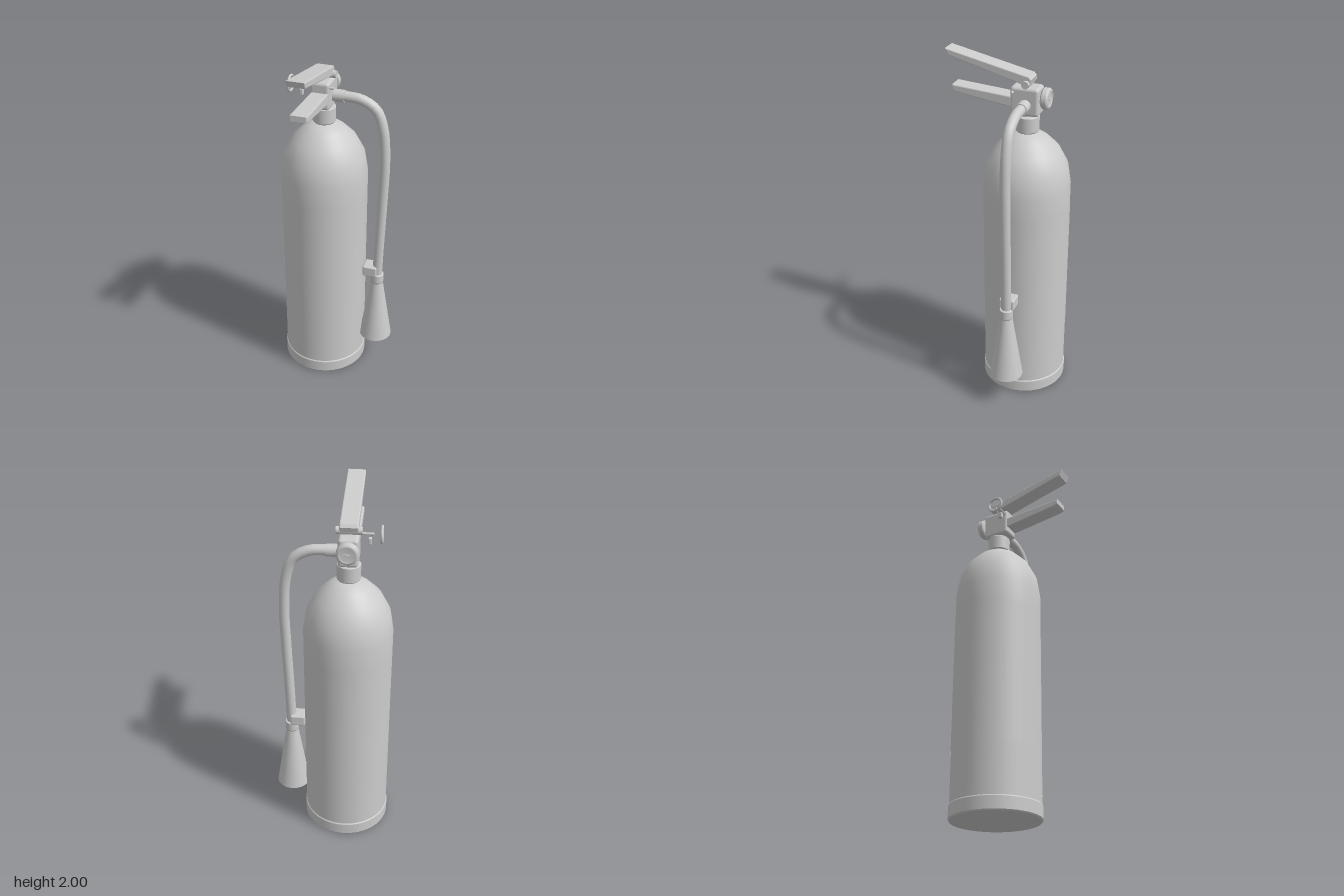
import * as THREE from 'three';
import { RoundedBoxGeometry } from 'three/addons/geometries/RoundedBoxGeometry.js';

const CX = -0.085, CZ = -0.1; // axis of the tank
const HX = 0.234;             // axis of the discharge horn

export function createModel() {
  const model = new THREE.Group();
  model.name = 'fireExtinguisher';
  const grey = new THREE.MeshStandardMaterial({ color: 0xcccccc });
  grey.name = 'plain grey';
  const greyOpen = grey; // one colour for every part
  greyOpen.side = THREE.DoubleSide;

  const add = (name, geometry, x = 0, y = 0, z = 0) => {
    const mesh = new THREE.Mesh(geometry, grey);
    mesh.name = name;
    mesh.position.set(x, y, z);
    model.add(mesh);
    return mesh;
  };
  const lathe = (pts, seg = 48) =>
    new THREE.LatheGeometry(pts.map(([r, y]) => new THREE.Vector2(r, y)), seg);
  const rod = (r, length, seg = 20) =>
    new THREE.CylinderGeometry(r, r, length, seg).rotateZ(Math.PI / 2);
  const box = (w, h, d, r) => new RoundedBoxGeometry(w, h, d, 2, r);

  // Side profile given as [z, y], extruded across x with a small bevel
  const lever = (pts, width) => {
    const b = 0.006;
    const shape = new THREE.Shape(pts.map(([z, y]) => new THREE.Vector2(z, y)));
    const g = new THREE.ExtrudeGeometry(shape, {
      depth: width - 2 * b, bevelEnabled: true, bevelSize: b, bevelThickness: b,
      bevelOffset: -b, bevelSegments: 2,
    });
    return g.translate(0, 0, -width / 2 + b).rotateY(-Math.PI / 2);
  };

  // Tank with domed shoulder
  add('tank', lathe([
    [0.24, 0.07], [0.24, 0.36], [0.24, 1.16], [0.24, 1.29], [0.222, 1.4],
    [0.175, 1.49], [0.115, 1.55], [0.06, 1.585], [0, 1.587],
  ]), CX, 0, CZ);
  add('footRing', lathe([
    [0, 0], [0.235, 0], [0.24, 0.001], [0.245, 0.008], [0.245, 0.008],
    [0.245, 0.074], [0.245, 0.074], [0.243, 0.08], [0.238, 0.081],
  ]), CX, 0, CZ);

  // Label wrapped round the back of the tank
  add('label', new THREE.CylinderGeometry(0.2415, 0.2415, 0.8, 32, 1, true,
    Math.PI - 1.22, 2.44), CX, 0.76, CZ);

  // Neck and valve
  add('neckCollar', lathe([
    [0, 0], [0.058, 0], [0.063, 0.006], [0.063, 0.006], [0.063, 0.086],
    [0.063, 0.086], [0.058, 0.092], [0, 0.092],
  ], 32), CX, 1.588, CZ);
  add('neckStem', new THREE.CylinderGeometry(0.045, 0.045, 0.05, 24), CX, 1.68, CZ);
  add('valveBody', box(0.105, 0.155, 0.157, 0.018), CX, 1.762, -0.095);

  // Pressure gauge on the back of the valve
  const gauge = lathe([
    [0, 0], [0.05, 0], [0.057, 0.008], [0.057, 0.008], [0.057, 0.032],
    [0.057, 0.032], [0.05, 0.041], [0.042, 0.041], [0.042, 0.041], [0.04, 0.036], [0, 0.036],
  ], 32).rotateX(-Math.PI / 2);
  add('gauge', gauge, CX, 1.78, -0.18);
  add('gaugeNeedle', new THREE.BoxGeometry(0.035, 0.007, 0.006), CX, 1.78, -0.219);

  // Squeeze levers and their pivot
  add('upperLever', lever([[0.345, 2.0], [-0.12, 1.9], [-0.131, 1.885],
    [-0.12, 1.845], [0.33, 1.963]], 0.096), CX);
  add('lowerLever', lever([[0.312, 1.806], [-0.03, 1.782],
    [-0.03, 1.722], [0.29, 1.766], [0.312, 1.775]], 0.092), CX);
  add('pivotPin', rod(0.02, 0.134), CX, 1.86, -0.104);

  // Safety pin with pull ring and tag
  add('safetyPin', rod(0.007, 0.195, 12), -0.108, 1.812, -0.033);
  add('pullRing', new THREE.TorusGeometry(0.041, 0.007, 10, 32).rotateY(Math.PI / 2),
    -0.246, 1.812, -0.033);
  add('pinTag', box(0.018, 0.036, 0.025, 0.004), -0.186, 1.773, -0.033);

  // Hose from valve to horn
  add('hoseFitting', rod(0.033, 0.07, 24), -0.005, 1.745, CZ);
  const path = new THREE.CatmullRomCurve3([
    [0.0, 1.745], [0.05, 1.745], [0.12, 1.738], [0.2, 1.69], [0.24, 1.585],
    [0.256, 1.405], [0.251, 1.155], [0.241, 0.865], [HX, 0.62],
  ].map(([x, y]) => new THREE.Vector3(x, y, CZ)));
  add('hose', new THREE.TubeGeometry(path, 40, 0.028, 20));

  // Hose clip on the side of the tank
  add('hoseClip', box(0.083, 0.065, 0.087, 0.009), 0.196, 0.668, CZ);

  // Discharge horn, open at the bottom
  add('hornCollar', lathe([
    [0.028, 0], [0.036, 0], [0.038, 0.006], [0.038, 0.006], [0.038, 0.054],
    [0.038, 0.054], [0.034, 0.06], [0, 0.06],
  ], 32), HX, 0.585, CZ);
  add('horn', lathe([[0.095, 0.198], [0.065, 0.39], [0.04, 0.55], [0.035, 0.587]], 32), HX, 0, CZ);

  return model;
}
